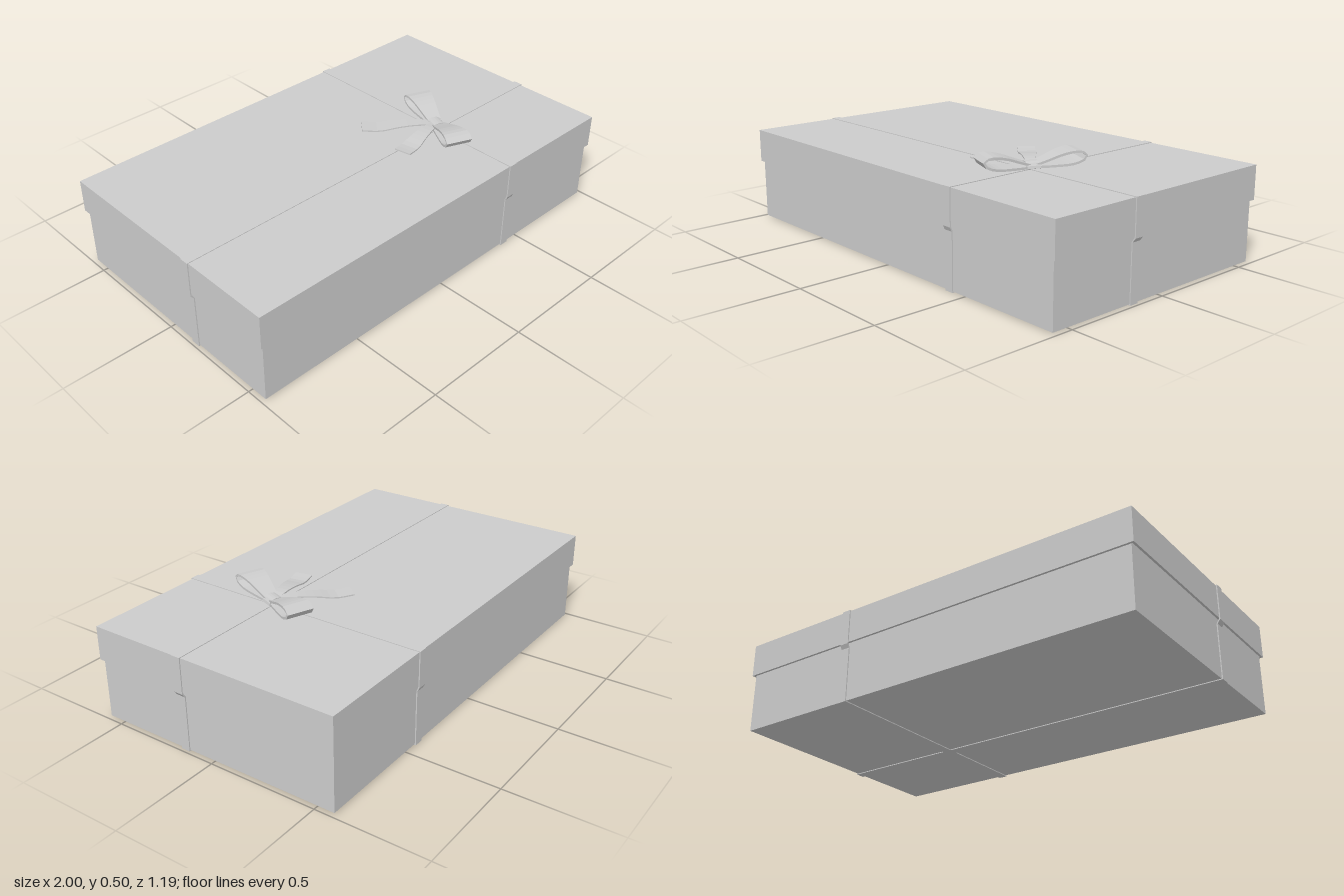
import * as THREE from 'three';

const grey = new THREE.MeshStandardMaterial({ color: 0xcccccc });
const faceted = new THREE.MeshStandardMaterial({ color: 0xcccccc, flatShading: true });

function add(parent, name, geometry, material = grey) {
  const mesh = new THREE.Mesh(geometry, material);
  mesh.name = name;
  parent.add(mesh);
  return mesh;
}

// Hollow tray: four walls in one extruded frame, plus a closing panel
function tray(name, halfX, halfZ, y0, y1, t, panelOnTop) {
  const group = new THREE.Group();
  group.name = name;
  const rect = (C, x, z) => {
    const s = new C();
    s.moveTo(-x, -z).lineTo(x, -z).lineTo(x, z).lineTo(-x, z).closePath();
    return s;
  };
  const frame = rect(THREE.Shape, halfX, halfZ);
  frame.holes.push(rect(THREE.Path, halfX - t, halfZ - t));
  const walls = new THREE.ExtrudeGeometry(frame, { depth: y1 - y0, bevelEnabled: false });
  walls.rotateX(-Math.PI / 2);
  add(group, name + 'Walls', walls).position.y = y0;
  const panel = add(group, name + 'Panel',
    new THREE.BoxGeometry(2 * (halfX - t / 2), t, 2 * (halfZ - t / 2)));
  panel.position.y = panelOnTop ? y1 - t / 2 : y0 + t / 2;
  return group;
}

// Flat ribbon loop that follows the lid and the base all the way round
function band(name, bodyHalf, lidHalf, width) {
  const outline = (C, o) => {
    const right = [
      [bodyHalf + o, 0.004 - o], [bodyHalf + o, 0.25], [lidHalf + o, 0.272 - o],
      [lidHalf + o, 0.425 + o],
    ];
    const left = right.map(([u, v]) => [-u, v]).reverse();
    return new C([...right, ...left].map(([u, v]) => new THREE.Vector2(u, v)));
  };
  const shape = outline(THREE.Shape, 0.004);
  shape.holes.push(outline(THREE.Path, -0.001));
  const geometry = new THREE.ExtrudeGeometry(shape, { depth: width, bevelEnabled: false });
  geometry.translate(0, 0, -width / 2);
  const mesh = new THREE.Mesh(geometry, grey);
  mesh.name = name;
  return mesh;
}

// Thick strip along a curve in the local xy plane; widthAt(x) is its size in z
function strip(points, widthAt, thickness, segments) {
  const curve = new THREE.CatmullRomCurve3(points.map(([x, y]) => new THREE.Vector3(x, y, 0)));
  const positions = [], index = [];
  for (let i = 0; i <= segments; i++) {
    const p = curve.getPointAt(i / segments);
    const t = curve.getTangentAt(i / segments);
    const h = thickness / 2, w = widthAt(p.x) / 2;
    for (const [n, z] of [[h, w], [h, -w], [-h, -w], [-h, w]]) {
      positions.push(p.x - t.y * n, p.y + t.x * n, z);
    }
    if (i === segments) break;
    for (let j = 0; j < 4; j++) {
      const a = i * 4 + j, b = i * 4 + (j + 1) % 4, c = b + 4, d = a + 4;
      index.push(a, d, c, a, c, b);
    }
  }
  const e = segments * 4;
  index.push(0, 1, 2, 0, 2, 3, e, e + 2, e + 1, e, e + 3, e + 2);
  const geometry = new THREE.BufferGeometry();
  geometry.setAttribute('position', new THREE.Float32BufferAttribute(positions, 3));
  geometry.setIndex(index);
  geometry.computeVertexNormals();
  return geometry;
}

export function createModel() {
  const model = new THREE.Group();
  model.name = 'giftBox';

  // Box and overlapping lid
  model.add(tray('base', 0.98, 0.578, 0.004, 0.41, 0.012, false));
  model.add(tray('lid', 0.994, 0.588, 0.275, 0.426, 0.01, true));

  // Two ribbons crossing off-centre
  const cx = 0.415, cz = 0.15;
  const longRibbon = band('longRibbon', 0.982, 0.996, 0.042);
  longRibbon.position.z = cz;
  const shortRibbon = band('shortRibbon', 0.58, 0.589, 0.042);
  shortRibbon.rotation.y = Math.PI / 2;
  shortRibbon.position.x = cx;
  model.add(longRibbon, shortRibbon);

  // Bow
  const bow = new THREE.Group();
  bow.name = 'bow';
  bow.position.set(cx, 0.427, cz - 0.005);
  model.add(bow);
  const aim = (mesh, dx, dz) => { mesh.rotation.y = Math.atan2(-dz, dx); };

  // Two teardrop loops, widening towards their ends
  const loopPath = [
    [0, 0.012], [0.06, 0.032], [0.13, 0.056], [0.19, 0.064], [0.222, 0.053],
    [0.216, 0.033], [0.17, 0.014], [0.09, 0.008], [0, 0.007],
  ];
  const loop = strip(loopPath, x => 0.055 + 0.065 * Math.min(1, x / 0.2), 0.01, 20);
  aim(add(bow, 'leftLoop', loop, faceted), 0.085, -0.212);
  aim(add(bow, 'rightLoop', loop, faceted), -0.085, 0.212);

  // Two loose tails resting on the lid
  const tailPath = len => [
    [0, 0.014], [0.25 * len, 0.022], [0.5 * len, 0.018], [0.78 * len, 0.005], [len, 0.01],
  ];
  const tail = len => strip(tailPath(len), x => 0.035 + 0.043 * Math.min(1, x / (0.7 * len)), 0.006, 10);
  aim(add(bow, 'backTail', tail(0.34), faceted), -0.26, -0.22);
  aim(add(bow, 'frontTail', tail(0.285), faceted), -0.28, 0.055);

  // Knot wrapped over the middle
  const knot = strip([[-0.034, 0.002], [-0.026, 0.02], [0, 0.027], [0.026, 0.02], [0.034, 0.002]],
    () => 0.06, 0.008, 8);
  aim(add(bow, 'knot', knot, faceted), 0.212, 0.085);

  return model;
}
